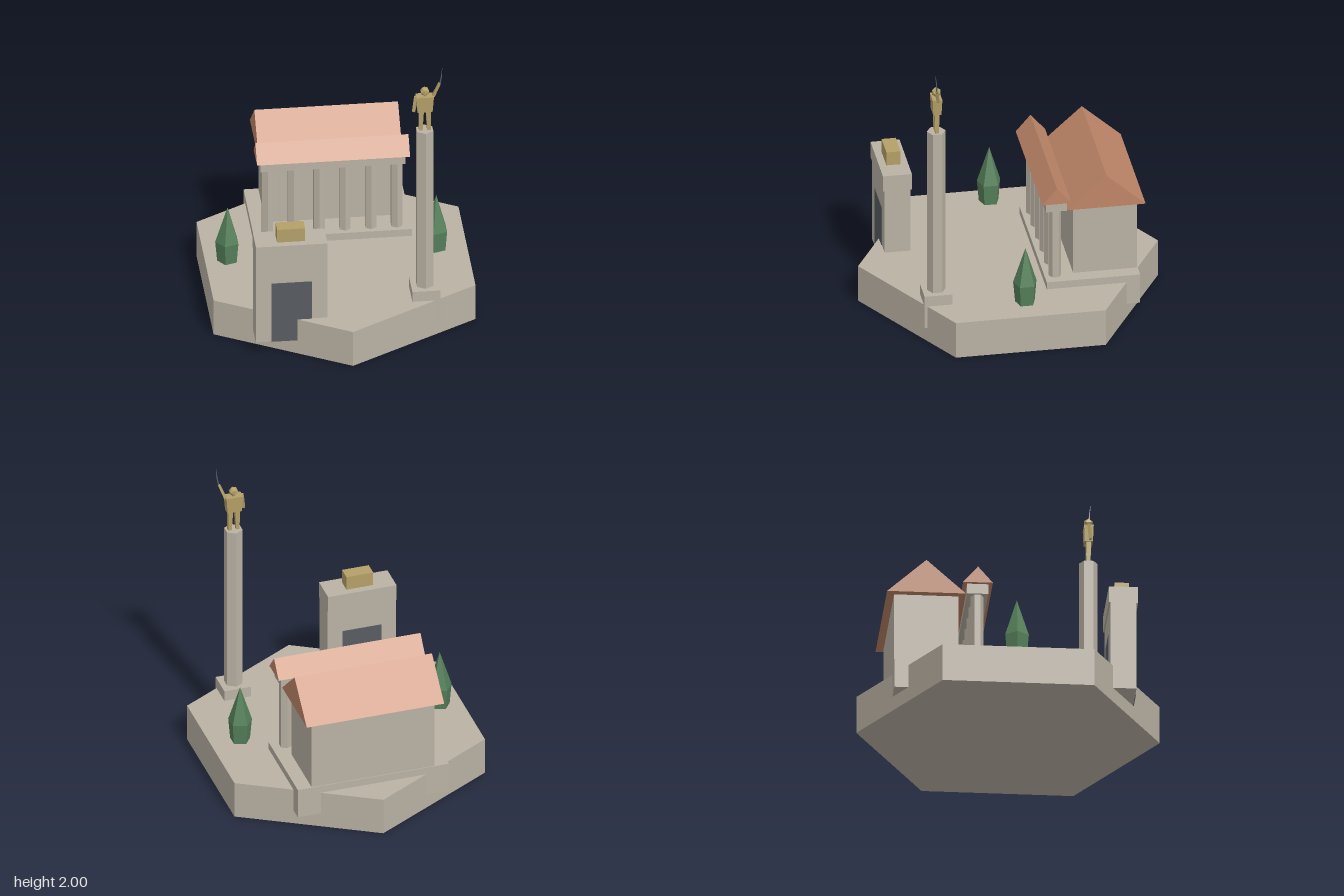
import * as THREE from 'three';

const mat = (name, color) => Object.assign(new THREE.MeshStandardMaterial({ color, flatShading: true }), { name });

export function createModel() {
  const stone = mat('stone', 0xbab2a4);
  const tile = mat('roof tile', 0xbf8668);
  const gold = mat('bronze gold', 0xb5a068);
  const green = mat('cypress green', 0x55805a);
  const dark = mat('dark slate', 0x585d62);

  const model = new THREE.Group();
  model.name = 'forumDiorama';

  const group = (name) => {
    const g = new THREE.Group();
    g.name = name;
    model.add(g);
    return g;
  };
  const add = (parent, name, geometry, material) => {
    const mesh = new THREE.Mesh(geometry, material);
    mesh.name = name;
    parent.add(mesh);
    return mesh;
  };
  // box from its x, y and z limits
  const box = (parent, name, material, x0, x1, y0, y1, z0, z1) => {
    const mesh = add(parent, name, new THREE.BoxGeometry(x1 - x0, y1 - y0, z1 - z0), material);
    mesh.position.set((x0 + x1) / 2, (y0 + y1) / 2, (z0 + z1) / 2);
    return mesh;
  };
  // upright prism or frustum
  const prism = (parent, name, material, rTop, rBottom, y0, y1, x, z, sides = 6) => {
    const mesh = add(parent, name, new THREE.CylinderGeometry(rTop, rBottom, y1 - y0, sides), material);
    mesh.position.set(x, (y0 + y1) / 2, z);
    return mesh;
  };
  // solid gable roof with its ridge along x
  const gable = (parent, name, halfLength, y0, y1, z, halfDepth) => {
    const shape = new THREE.Shape([
      new THREE.Vector2(-halfDepth, y0), new THREE.Vector2(halfDepth, y0), new THREE.Vector2(0, y1),
    ]);
    const geometry = new THREE.ExtrudeGeometry(shape, { depth: halfLength * 2, bevelEnabled: false });
    geometry.translate(0, 0, -halfLength).rotateY(Math.PI / 2);
    add(parent, name, geometry, tile).position.z = z;
  };
  // tapered four-sided limb between two points
  const limb = (parent, name, material, from, to, rFrom, rTo) => {
    const a = new THREE.Vector3(...from), b = new THREE.Vector3(...to);
    const geometry = new THREE.CylinderGeometry(rTo, rFrom, a.distanceTo(b), 4).rotateY(Math.PI / 4);
    const mesh = add(parent, name, geometry, material);
    mesh.position.copy(a).lerp(b, 0.5);
    mesh.quaternion.setFromUnitVectors(new THREE.Vector3(0, 1, 0), b.sub(a).normalize());
  };

  // Ground slab
  prism(model, 'hexagonalBase', stone, 1, 1, 0, 0.26, 0, 0);

  // Temple with a colonnaded porch
  const temple = group('temple');
  box(temple, 'platform', stone, -0.522, 0.522, 0.1, 0.312, -0.79, -0.167);
  box(temple, 'hall', stone, -0.425, 0.425, 0.312, 0.815, -0.785, -0.36);
  gable(temple, 'hallRoof', 0.475, 0.815, 1.05, -0.575, 0.26);
  for (let i = 0; i < 6; i++) {
    prism(temple, 'porchColumn', stone, 0.042, 0.042, 0.312, 0.815, (i - 2.5) * 0.171, -0.238);
  }
  box(temple, 'entablature', stone, -0.48, 0.48, 0.815, 0.885, -0.308, -0.168);
  gable(temple, 'porchRoof', 0.506, 0.885, 1.0, -0.238, 0.098);

  // Gateway, dark opening on both faces
  const gate = group('gateway');
  box(gate, 'gateBody', stone, -0.62, -0.147, 0.1, 0.72, 0.625, 0.797);
  box(gate, 'gateAttic', stone, -0.62, -0.147, 0.72, 0.835, 0.615, 0.808);
  box(gate, 'gateOpeningFront', dark, -0.518, -0.249, 0.1, 0.545, 0.796, 0.801);
  box(gate, 'gateOpeningBack', dark, -0.518, -0.249, 0.1, 0.545, 0.621, 0.626);
  box(gate, 'gateOrnament', gold, -0.475, -0.29, 0.835, 0.932, 0.665, 0.76);

  // Monument column
  const cx = 0.522, cz = 0.571;
  const monument = group('monument');
  box(monument, 'plinth', stone, 0.43, 0.615, 0.1, 0.335, 0.478, 0.664);
  prism(monument, 'shaft', stone, 0.062, 0.062, 0.335, 1.525, cx, cz);

  // Statue with a raised sword
  const statue = group('statue');
  statue.position.set(cx, 1.525, cz);
  for (const s of [-1, 1]) {
    limb(statue, 'leg', gold, [s * 0.027, 0, 0], [s * 0.023, 0.147, 0], 0.017, 0.023);
  }
  const torso = new THREE.CylinderGeometry(Math.SQRT1_2, 0.6, 1, 4).rotateY(Math.PI / 4);
  torso.scale(0.116, 0.115, 0.064).translate(0, 0.202, 0);
  add(statue, 'torso', torso, gold);
  limb(statue, 'neck', gold, [0, 0.255, 0], [0, 0.28, 0], 0.016, 0.016);
  add(statue, 'head', new THREE.IcosahedronGeometry(0.033, 0), gold).position.y = 0.293;
  limb(statue, 'loweredArm', gold, [-0.058, 0.258, 0], [-0.074, 0.147, 0.01], 0.014, 0.013);
  limb(statue, 'raisedArm', gold, [0.056, 0.25, -0.003], [0.097, 0.355, 0.012], 0.014, 0.011);
  limb(statue, 'swordLower', dark, [0.096, 0.335, 0.011], [0.109, 0.41, 0.017], 0.006, 0.005);
  limb(statue, 'swordTip', dark, [0.109, 0.41, 0.017], [0.113, 0.475, 0.023], 0.005, 0.001);

  // Cypress trees
  for (const x of [-0.717, 0.663]) {
    const tree = group('cypress');
    tree.position.x = x;
    tree.rotation.y = -Math.PI / 2;
    prism(tree, 'lowerFoliage', green, 0.082, 0.069, 0.26, 0.405, 0, 0, 5);
    prism(tree, 'upperFoliage', green, 0, 0.082, 0.405, 0.665, 0, 0, 5);
  }

  return model;
}
